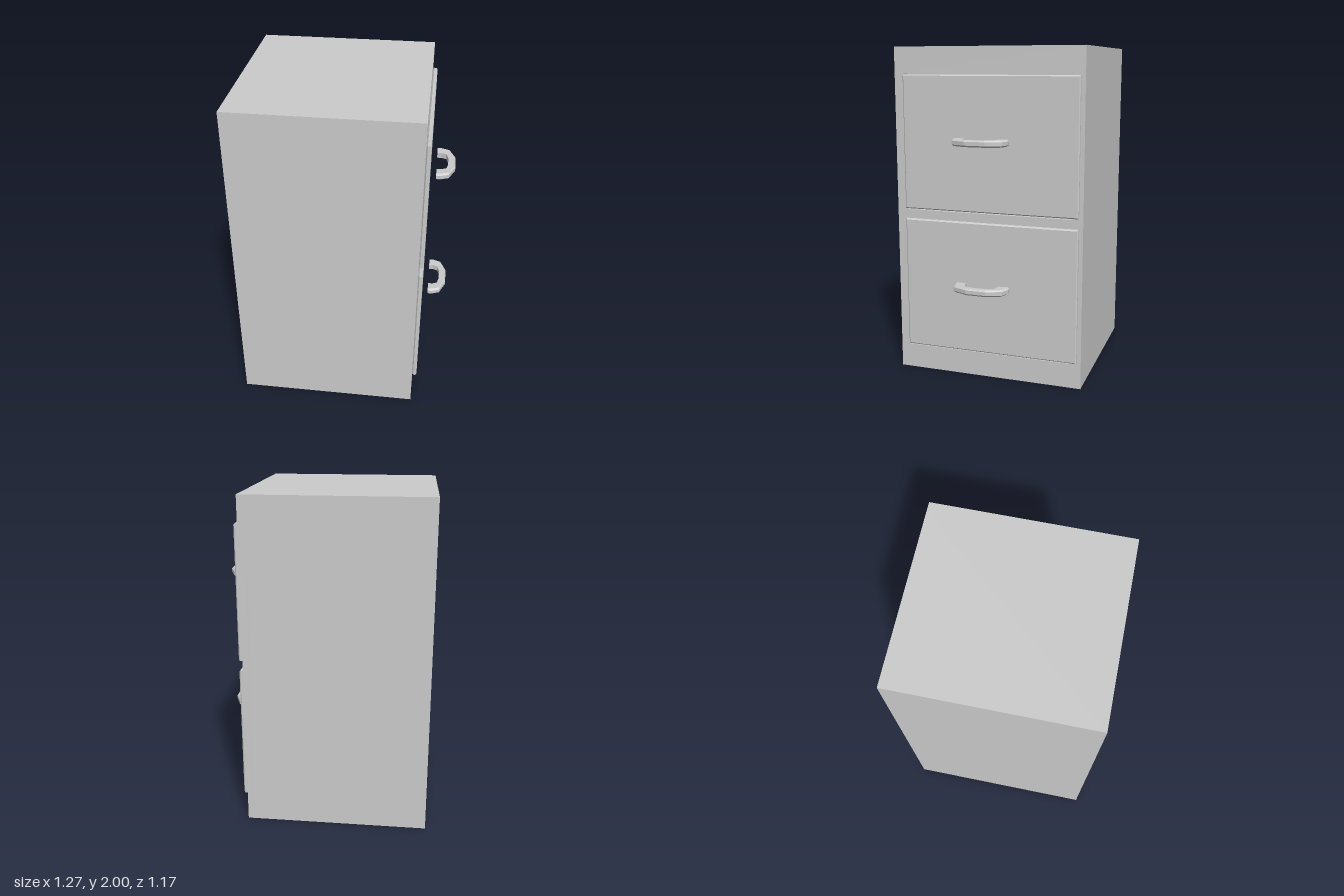
import * as THREE from 'three';

const material = new THREE.MeshStandardMaterial({ color: 0xcccccc, flatShading: true });

function addMesh(parent, name, geometry) {
  const mesh = new THREE.Mesh(geometry, material);
  mesh.name = name;
  parent.add(mesh);
  return mesh;
}

// Rectangle outline in the plane of the drawer fronts (horizontal axis is -z)
function rectangle(path, z0, z1, y0, y1) {
  path.moveTo(-z1, y0);
  path.lineTo(-z0, y0);
  path.lineTo(-z0, y1);
  path.lineTo(-z1, y1);
  path.closePath();
  return path;
}

// Extrude an outline along +x from x0
function extrudeX(shape, x0, options) {
  return new THREE.ExtrudeGeometry(shape, { bevelEnabled: false, ...options })
    .rotateY(Math.PI / 2)
    .translate(x0, 0, 0);
}

// Drawer front with a chamfered outer edge
function panelGeometry(y0, y1) {
  const b = 0.007;
  const shape = rectangle(new THREE.Shape(), -0.56 + b, 0.52 - b, y0 + b, y1 - b);
  return extrudeX(shape, 0.46 + b, {
    depth: 0.028 - 2 * b, bevelEnabled: true, bevelSize: b, bevelThickness: b, bevelSegments: 1,
  });
}

// Bowed pull: one six-sided section swept between an inner and an outer outline
function handleGeometry() {
  const outer = [[0.523, 0.171], [0.55, 0.171], [0.598, 0.152], [0.635, 0.062]];
  const inner = [[0.523, 0.1], [0.55, 0.1], [0.58, 0.087], [0.591, 0.04]];
  const mirror = (list) => [
    ...list.map(([x, z]) => [x, -z]),
    ...[...list].reverse(),
  ];
  const out = mirror(outer);
  const inn = mirror(inner);
  const section = [[0, -0.017], [0.82, -0.02], [1, -0.011], [1, 0.011], [0.82, 0.02], [0, 0.017]];
  const n = section.length;
  const positions = [];
  const index = [];
  out.forEach(([ox, oz], i) => {
    const [ix, iz] = inn[i];
    for (const [t, y] of section) positions.push(ix + (ox - ix) * t, y, iz + (oz - iz) * t);
  });
  for (let i = 0; i < out.length - 1; i++) {
    for (let j = 0; j < n; j++) {
      const a = i * n + j, b = i * n + (j + 1) % n;
      index.push(a, b, b + n, a, b + n, a + n);
    }
  }
  // end caps
  const last = (out.length - 1) * n;
  for (let j = 1; j < n - 1; j++) {
    index.push(0, j + 1, j, last, last + j, last + j + 1);
  }
  const geometry = new THREE.BufferGeometry();
  geometry.setAttribute('position', new THREE.Float32BufferAttribute(positions, 3));
  geometry.setIndex(index);
  const flat = geometry.toNonIndexed();
  // make sure the surface faces outward
  const p = flat.attributes.position;
  const a = new THREE.Vector3(), b = new THREE.Vector3(), c = new THREE.Vector3();
  let volume = 0;
  for (let i = 0; i < p.count; i += 3) {
    a.fromBufferAttribute(p, i);
    b.fromBufferAttribute(p, i + 1);
    c.fromBufferAttribute(p, i + 2);
    volume += a.dot(b.cross(c));
  }
  if (volume < 0) {
    for (let i = 0; i < p.count; i += 3) {
      b.fromBufferAttribute(p, i + 1);
      c.fromBufferAttribute(p, i + 2);
      p.setXYZ(i + 1, c.x, c.y, c.z);
      p.setXYZ(i + 2, b.x, b.y, b.z);
    }
  }
  flat.computeVertexNormals();
  return flat;
}

export function createModel() {
  const model = new THREE.Group();
  model.name = 'filingCabinet';
  const drawers = [
    { name: 'lowerDrawer', y0: 0.163, y1: 0.97, open0: 0.15, open1: 0.965, handleY: 0.587 },
    { name: 'upperDrawer', y0: 1.033, y1: 1.838, open0: 1.023, open1: 1.847, handleY: 1.457 },
  ];

  // Cabinet body, with a front frame whose openings leave a thin gap round the drawers
  const frameX = 0.41;
  addMesh(model, 'cabinetBody', new THREE.BoxGeometry(frameX + 0.635, 2, 1.166))
    .position.set((frameX - 0.635) / 2, 1, 0);
  const frame = rectangle(new THREE.Shape(), -0.583, 0.583, 0, 2);
  for (const d of drawers) {
    frame.holes.push(rectangle(new THREE.Path(), -0.515, 0.523, d.open0, d.open1));
  }
  addMesh(model, 'frontFrame', extrudeX(frame, frameX, { depth: 0.05 }));

  // Drawers with their pulls
  const pull = handleGeometry();
  for (const d of drawers) {
    const drawer = new THREE.Group();
    drawer.name = d.name;
    addMesh(drawer, 'drawerFront', panelGeometry(d.y0, d.y1));
    addMesh(drawer, 'handle', pull).position.set(0, d.handleY, 0.011);
    model.add(drawer);
  }
  return model;
}
